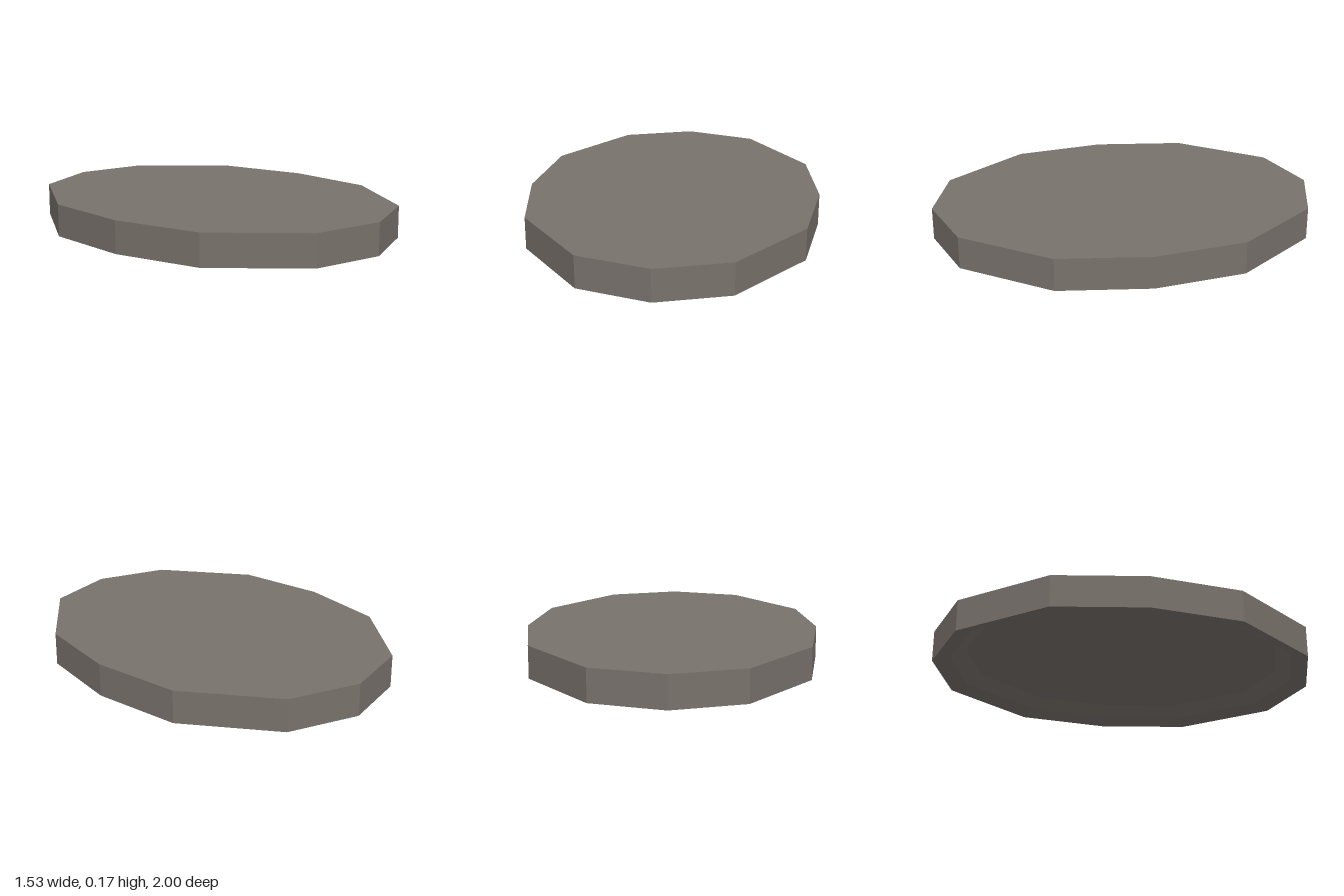
import * as THREE from 'three';

// Twelve-sided oval outline: one quarter, mirrored into the rest (x, z)
function ovalOutline() {
  const q = [[0, 1], [0.37, 0.89], [0.695, 0.468]];
  const right = [...q, [0.763, 0], ...q.slice(1).reverse().map(([x, z]) => [x, -z])];
  return [...right, ...right.map(([x, z]) => [-x, -z])];
}

// Faceted band between two scaled copies of the outline, given as [scale, height]
function band(outline, [s0, y0], [s1, y1]) {
  const pos = [];
  outline.forEach(([ax, az], i) => {
    const [bx, bz] = outline[(i + 1) % outline.length];
    const a = [ax * s0, y0, az * s0], b = [bx * s0, y0, bz * s0];
    const c = [bx * s1, y1, bz * s1], d = [ax * s1, y1, az * s1];
    pos.push(...a, ...b, ...c);
    if (s1 > 0) pos.push(...a, ...c, ...d);
  });
  const geo = new THREE.BufferGeometry();
  geo.setAttribute('position', new THREE.Float32BufferAttribute(pos, 3));
  geo.computeVertexNormals();
  return geo;
}

export function createModel() {
  const group = new THREE.Group();
  group.name = 'ovalSlab';
  const stone = new THREE.MeshStandardMaterial({ color: 0x79726c });
  stone.name = 'warm grey';

  const outline = ovalOutline();
  const top = 0.167, rim = [0.91, 0.03], floor = [0.83, 0.08];

  // Each part runs from one ring to the next, faces turned outward
  const parts = {
    topFace: [[1, top], [0, top]],
    outerWall: [[1, 0], [1, top]],
    undersideRim: [rim, [1, 0]],
    recessWall: [floor, rim],
    recessFloor: [[0, floor[1]], floor],
  };
  for (const [name, [from, to]] of Object.entries(parts)) {
    const mesh = new THREE.Mesh(band(outline, from, to), stone);
    mesh.name = name;
    group.add(mesh);
  }
  return group;
}
